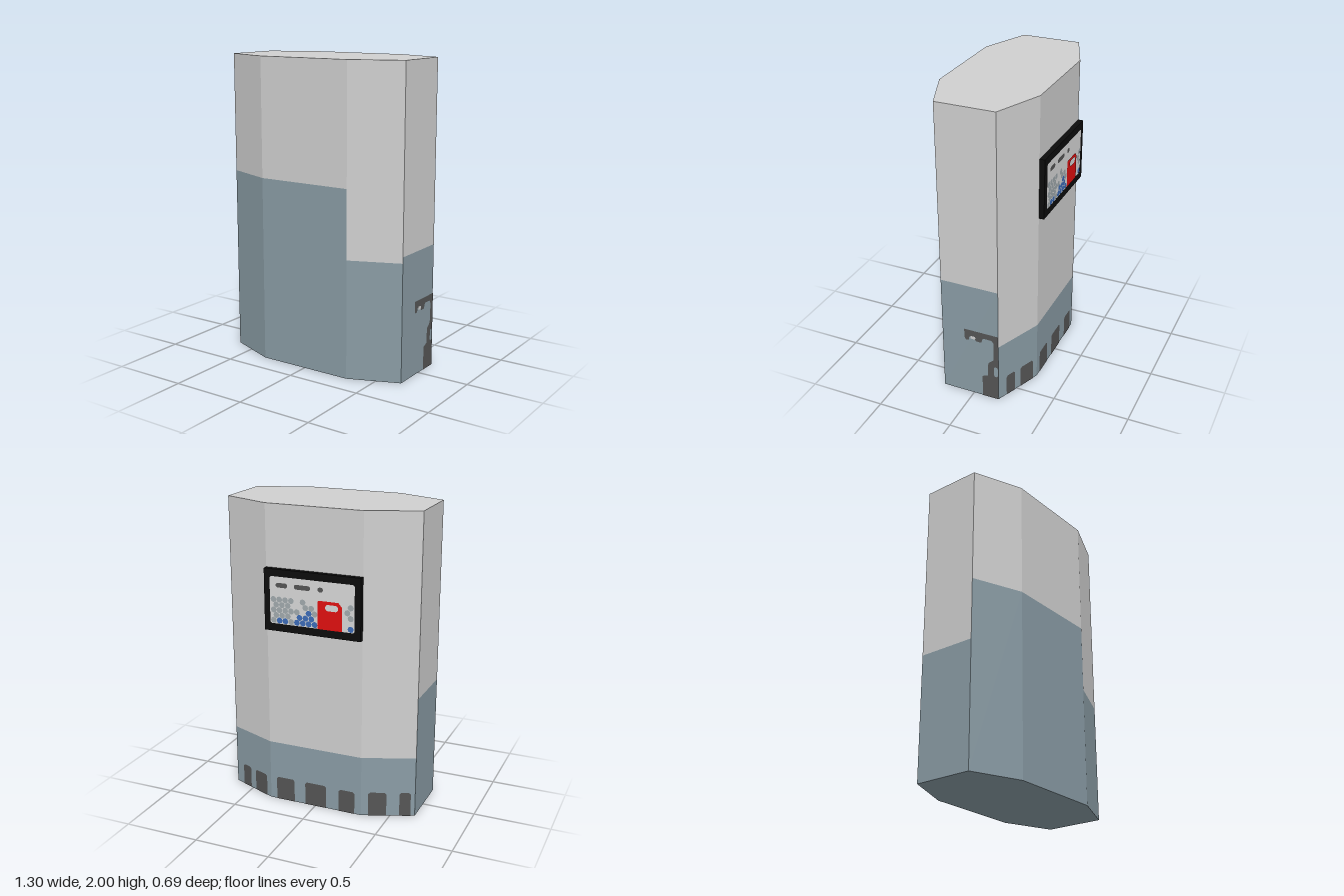
import * as THREE from 'three';

const mat = (name, color, side = THREE.FrontSide) => {
  const m = new THREE.MeshStandardMaterial({ color, side });
  m.name = name;
  return m;
};

export function createModel() {
  const model = new THREE.Group();
  model.name = 'paintedTower';

  const wall = mat('light grey wall', 0xd0d0d0);
  const blue = mat('grey blue paint', 0x8a9ca5);
  const mural = mat('dark grey mural', 0x555555);
  const black = mat('black frame', 0x0c0c0c);
  const paper = mat('picture white', 0xd8d8d8);
  const red = mat('red can', 0xe01010);
  const dotBlue = mat('blue dots', 0x3c6cb8);
  const dotGrey = mat('grey dots', 0xa0a9ad);

  const H = 2;
  // Octagon corners (x, z), walked left to right as seen from outside
  const ring = [
    [-0.325, 0.345], [0.325, 0.345], [0.65, 0.215], [0.65, -0.175],
    [0.325, -0.305], [-0.325, -0.305], [-0.65, -0.175], [-0.65, 0.215],
  ];
  const names = ['front', 'frontLeft', 'left', 'backLeft', 'back', 'backRight', 'right', 'frontRight'];
  const paintTop = [1.223, 0.775, 0.815, 0.41, 0.41, 0.41, 0.815, 1.223];

  const add = (parent, name, geometry, material, x = 0, y = 0, z = 0) => {
    const mesh = new THREE.Mesh(geometry, material);
    mesh.name = name;
    mesh.position.set(x, y, z);
    parent.add(mesh);
    return mesh;
  };
  const polygon = pts => new THREE.Shape(pts.map(p => new THREE.Vector2(p[0], p[1])));
  const rounded = (w, h, r, Type = THREE.Shape, cx = 0, cy = 0) => {
    const s = new Type();
    const [x, y] = [w / 2 - r, h / 2 - r];
    s.absarc(cx + x, cy + y, r, 0, Math.PI / 2);
    s.absarc(cx - x, cy + y, r, Math.PI / 2, Math.PI);
    s.absarc(cx - x, cy - y, r, Math.PI, Math.PI * 1.5);
    s.absarc(cx + x, cy - y, r, Math.PI * 1.5, Math.PI * 2);
    s.closePath();
    return s;
  };
  const flat = shape => new THREE.ShapeGeometry(shape, 4);

  // Walls: each side is painted up to its own height.
  // Side groups have x along the wall, y up and z outwards.
  const sides = {};
  ring.forEach(([x, z], i) => {
    const [x2, z2] = ring[(i + 1) % ring.length];
    const w = Math.hypot(x2 - x, z2 - z);
    const h = paintTop[i];
    const g = new THREE.Group();
    g.name = names[i] + 'Side';
    g.position.set(x, 0, z);
    g.rotation.y = Math.atan2(z - z2, x2 - x);
    add(g, 'paintedWall', new THREE.PlaneGeometry(w, h), blue, w / 2, h / 2);
    add(g, 'plainWall', new THREE.PlaneGeometry(w, H - h), wall, w / 2, (H + h) / 2);
    model.add(g);
    sides[names[i]] = { g, w };
  });

  // Roof and underside
  const roof = flat(polygon(ring.map(([x, z]) => [x, -z])));
  add(model, 'roof', roof, wall, 0, H).rotation.x = -Math.PI / 2;
  const base = flat(polygon(ring));
  add(model, 'underside', base, blue).rotation.x = Math.PI / 2;

  // Crane mural on the side wall
  const crane = polygon([
    [0.155, 0.49], [0.39, 0.49], [0.39, 0], [0.278, 0], [0.278, 0.155], [0.315, 0.17],
    [0.32, 0.27], [0.355, 0.3], [0.36, 0.43], [0.345, 0.45], [0.285, 0.45], [0.272, 0.415],
    [0.235, 0.415], [0.225, 0.44], [0.19, 0.44], [0.185, 0.415], [0.165, 0.41], [0.155, 0.43],
  ]);
  crane.holes.push(rounded(0.026, 0.075, 0.012, THREE.Path, 0.373, 0.212));
  add(sides.left.g, 'craneMural', flat(crane), mural, 0, 0, 0.002);
  add(sides.left.g, 'craneHookGap', flat(rounded(0.035, 0.022, 0.01)), wall, 0.215, 0.437, 0.003);

  // Row of dark blocks along the foot of the back walls: [start, end, height]
  const blocks = {
    backLeft: [[0.2, 0.42, 0.15], [0.56, 0.89, 0.15]],
    back: [[0.07, 0.27, 0.16], [0.39, 0.62, 0.16], [0.76, 0.93, 0.155]],
    backRight: [[0.13, 0.47, 0.165], [0.71, 0.92, 0.165]],
  };
  for (const [name, list] of Object.entries(blocks)) {
    const { g, w } = sides[name];
    for (const [a, b, h] of list) {
      const c = 0.012;
      const s = polygon([[a * w, 0], [b * w, 0], [b * w, h - c], [b * w - c, h], [a * w + c, h], [a * w, h - c]]);
      add(g, 'buildingMural', flat(s), mural, 0, 0, 0.002);
    }
  }

  // Framed picture on the back wall
  const frame = new THREE.Group();
  frame.name = 'framedPicture';
  sides.back.g.add(frame);
  add(frame, 'frame', new THREE.BoxGeometry(0.65, 0.4, 0.034), black, 0.325, 1.4, 0.017);
  add(frame, 'picture', flat(rounded(0.57, 0.304, 0.015)), paper, 0.325, 1.402, 0.0355);
  [[0.122, 0.08, 0.03], [0.262, 0.11, 0.03], [0.384, 0.036, 0.03]].forEach(([x, w, h]) =>
    add(frame, 'cloud', flat(rounded(w, h, 0.0149)), mural, x, 1.5, 0.037));

  // Scattered dots, blue towards the bottom and grey above
  let seed = 7;
  const rand = () => (seed = (seed * 16807) % 2147483647) / 2147483647;
  for (let row = 0; row < 5; row++) {
    for (let col = 0; col < 14; col++) {
      const x = 0.065 + col * 0.04 + (row % 2) * 0.018;
      const y = 1.272 + row * 0.034;
      const r = rand();
      if (x > 0.59 || (x > 0.35 && x < 0.545) || r > 0.95 - row * 0.1) continue;
      const isBlue = rand() < 0.75 - row * 0.24;
      add(frame, isBlue ? 'blueDot' : 'greyDot', new THREE.CircleGeometry(0.02, 8),
        isBlue ? dotBlue : dotGrey, x, y, 0.037);
    }
  }

  // Red can with an open handle
  const can = polygon([[0.367, 1.25], [0.528, 1.25], [0.528, 1.405], [0.505, 1.432], [0.375, 1.432], [0.367, 1.425]]);
  can.holes.push(rounded(0.085, 0.04, 0.018, THREE.Path, 0.46, 1.392));
  add(frame, 'redCan', flat(can), red, 0, 0, 0.039);

  return model;
}
